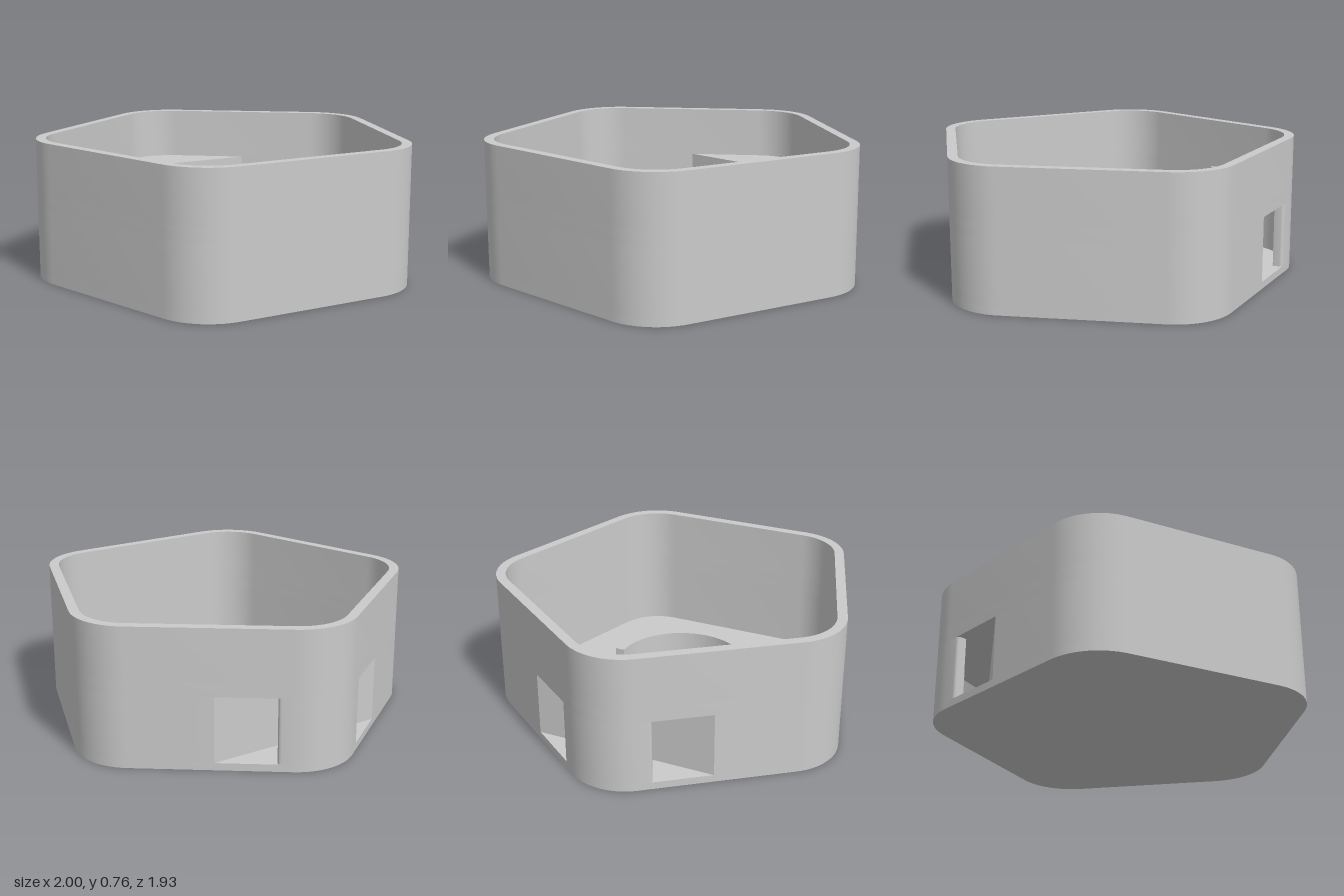
import * as THREE from 'three';
import { toCreasedNormals } from 'three/addons/utils/BufferGeometryUtils.js';

const R = 0.715;      // pentagon centre to corner-arc centres
const CORNER = 0.32;  // outer corner radius
const CZ = 0.069;     // pentagon centre along z
const WALL = 0.053;   // wall thickness
const CHAMFER = 0.021;
const FLOOR = 0.04, SHELF = 0.475, HEIGHT = 0.757;
const SHELF_FRONT = -0.618;
const WIN_TOP = 0.398, WIN_FRONT = -0.671, WIN_BACK = -0.868;
const A36 = Math.PI / 5, S36 = Math.sin(A36), C36 = Math.cos(A36);

// Plan points are Vector2(x, z). Corner 0 is the back point.
function cornerArc(k, inset, segments = 14) {
  const a = k * 2 * A36, pts = [];
  for (let i = 0; i <= segments; i++) {
    const t = a - A36 + (2 * A36 * i) / segments, r = CORNER - inset;
    pts.push(new THREE.Vector2(
      R * Math.sin(a) + r * Math.sin(t),
      CZ - R * Math.cos(a) - r * Math.cos(t)));
  }
  return pts;
}

// x of the slanted back wall at a given z
function backWallX(inset, z) {
  return (R * C36 + CORNER - inset + C36 * (z - CZ)) / S36;
}

const fullOutline = (inset) => [0, 1, 2, 3, 4].flatMap((k) => cornerArc(k, inset));

// Outline cut off by a straight line at z
function cutOutline(inset, z) {
  const x = backWallX(inset, z);
  return [new THREE.Vector2(x, z),
    ...[1, 2, 3, 4].flatMap((k) => cornerArc(k, inset)),
    new THREE.Vector2(-x, z)];
}

// Upright prism from a plan outline, with an optional hole.
// The outline is made anticlockwise so that hole walls face inwards.
function prism(outline, y0, y1, hole) {
  const flip = (pts) => pts.map((p) => new THREE.Vector2(p.x, -p.y));
  const shape = new THREE.Shape(flip(outline).reverse());
  if (hole) shape.holes.push(new THREE.Path(flip(hole)));
  const g = new THREE.ExtrudeGeometry(shape, { depth: y1 - y0, bevelEnabled: false });
  g.rotateX(-Math.PI / 2).translate(0, y0, 0);
  return toCreasedNormals(g, 0.4);
}

// Sloped strip from an upper plan outline down to a lower one inside it
function slopedStrip(upper, yUpper, lower, yLower) {
  const pos = [], n = upper.length;
  for (let i = 0; i < n; i++) {
    const j = (i + 1) % n;
    const a = [upper[i].x, yUpper, upper[i].y], b = [upper[j].x, yUpper, upper[j].y];
    const c = [lower[j].x, yLower, lower[j].y], d = [lower[i].x, yLower, lower[i].y];
    pos.push(...a, ...b, ...c, ...a, ...c, ...d);
  }
  const g = new THREE.BufferGeometry();
  g.setAttribute('position', new THREE.Float32BufferAttribute(pos, 3));
  g.computeVertexNormals();
  return toCreasedNormals(g, 0.4);
}

// Window jamb on the +x side of the back pillar: rounded outer edge, then straight in
function jamb(round) {
  const along = new THREE.Vector2(C36, S36), inward = new THREE.Vector2(-S36, C36);
  const start = new THREE.Vector2(backWallX(0, WIN_BACK), WIN_BACK);
  const pts = [];
  for (let i = 0; i <= 6; i++) {
    const t = (Math.PI / 2) * (i / 6);
    pts.push(start.clone()
      .addScaledVector(inward, round * (1 - Math.cos(t)))
      .addScaledVector(along, round * Math.sin(t)));
  }
  pts.push(start.clone().addScaledVector(inward, WALL).addScaledVector(along, round));
  return pts;
}

export function createModel() {
  const group = new THREE.Group();
  const grey = new THREE.MeshStandardMaterial({ color: 0xcbcbcb });
  grey.name = 'grey';
  const add = (name, geometry) => {
    const mesh = new THREE.Mesh(geometry, grey);
    mesh.name = name;
    group.add(mesh);
    return mesh;
  };

  const outer = fullOutline(0);
  const cavity = cutOutline(WALL, SHELF_FRONT);
  const floorEdge = cutOutline(WALL + CHAMFER, SHELF_FRONT + CHAMFER);

  // Base and shell, stacked around the two windows
  add('basePlate', prism(outer, 0, FLOOR));
  add('lowerWall', prism(cutOutline(0, WIN_FRONT), FLOOR, WIN_TOP, cavity));
  add('shelf', prism(outer, WIN_TOP, SHELF, cavity));
  add('upperWall', prism(outer, SHELF, HEIGHT, fullOutline(WALL)));

  // Rounded pillar at the back, between the windows
  const rightSide = jamb(0.018);
  const leftSide = rightSide.map((p) => new THREE.Vector2(-p.x, p.y)).reverse();
  add('backPillar', prism(
    [...cornerArc(0, 0), ...rightSide, ...cornerArc(0, WALL).reverse(), ...leftSide],
    FLOOR, WIN_TOP));

  // Chamfer around the edge of the floor
  add('floorChamfer', slopedStrip(cavity, FLOOR + CHAMFER, floorEdge, FLOOR));

  // Raised face: two pegs and a curved rib
  const top = 0.22;
  for (const side of [-1, 1]) {
    const peg = add(side > 0 ? 'leftEyePeg' : 'rightEyePeg',
      new THREE.CylinderGeometry(0.035, 0.035, top - FLOOR, 32));
    peg.position.set(side * 0.246, (top + FLOOR) / 2, -0.18);
  }
  const arc = (r) => Array.from({ length: 41 }, (_, i) => {
    const t = (Math.PI * i) / 40;
    return new THREE.Vector2(r * Math.cos(t), 0.069 + r * Math.sin(t));
  });
  add('smileRib', prism([...arc(0.421), ...arc(0.367).reverse()], FLOOR, top));

  return group;
}
